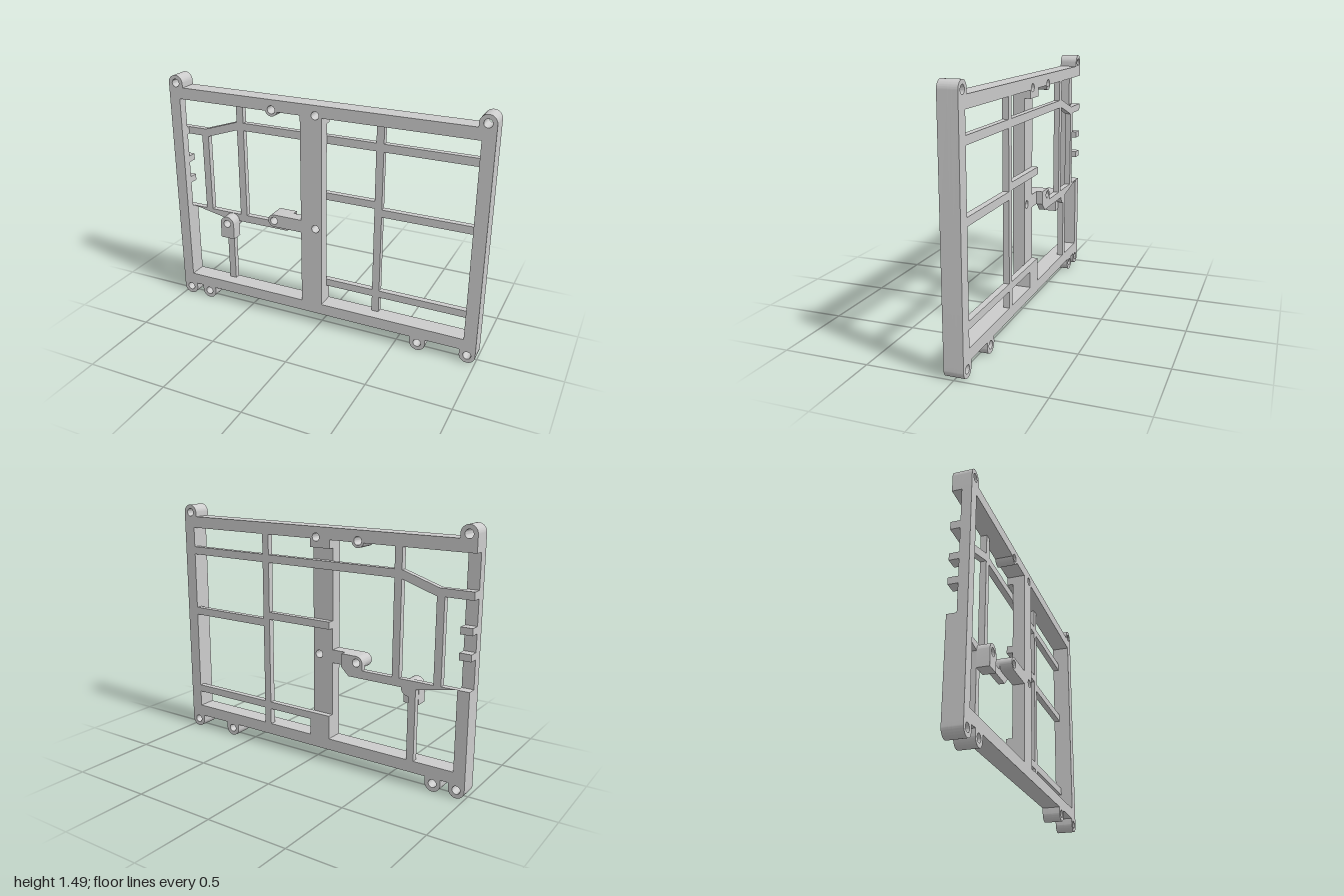
import * as THREE from 'three';
import { toCreasedNormals } from 'three/addons/utils/BufferGeometryUtils.js';

const FRONT = 0.055, MID = 0, RIB = -0.018, BACK = -0.055;
const EAR = 0.048, HOLE = 0.024, PI = Math.PI;
const EAR_TOP = 1.445;
const bottomEars = [-0.952, -0.808, 0.648, 0.952];
const material = new THREE.MeshStandardMaterial({ color: 0xcccccc });

export function createModel() {
  const model = new THREE.Group();

  // Extrudes a flat shape between two depths, with round screw holes.
  function plate(name, shape, z0, z1, screwHoles = []) {
    for (const [x, y] of screwHoles) {
      shape.holes.push(new THREE.Path().absarc(x, y, HOLE, 0, PI * 2, true));
    }
    const geo = new THREE.ExtrudeGeometry(shape, { depth: z1 - z0, bevelEnabled: false, curveSegments: 16 });
    geo.translate(0, 0, z0);
    const mesh = new THREE.Mesh(toCreasedNormals(geo, 0.5), material);
    mesh.name = name;
    model.add(mesh);
  }
  const poly = (pts) => new THREE.Shape(pts.map(([x, y]) => new THREE.Vector2(x, y)));
  const rect = (x0, x1, y0, y1) => poly([[x0, y0], [x1, y0], [x1, y1], [x0, y1]]);
  const lines = (path, pts) => pts.forEach(([x, y]) => path.lineTo(x, y));

  // Outer edge with its screw ears, from the lower to the upper end of the left notch.
  function outerEdge() {
    const s = new THREE.Shape();
    s.moveTo(-1, 0.62);
    for (const x of bottomEars) {
      s.lineTo(x - EAR, 0.08);
      s.absarc(x, EAR, EAR, PI, PI * 2, false);
      s.lineTo(x + EAR, 0.08);
    }
    s.absarc(0.952, EAR_TOP, EAR, 0, PI, false);
    lines(s, [[0.904, 1.42], [-0.904, 1.42]]);
    s.absarc(-0.952, EAR_TOP, EAR, 0, PI, false);
    s.lineTo(-1, 1.35);
    return s;
  }
  // Top edge of the left window, with the small round boss bulging into it.
  function windowTop(path) {
    path.lineTo(-0.93, 1.35);
    path.absarc(-0.3, 1.36, 0.04, PI + 0.253, PI * 2 - 0.253, false);
    path.lineTo(-0.115, 1.35);
  }
  const rightWindow = () => rect(0.02, 0.925, 0.15, 1.35);
  const frameHoles = [
    ...bottomEars.map((x) => [x, EAR]),
    [-0.952, EAR_TOP], [0.952, EAR_TOP], [-0.3, 1.36], [-0.02, 1.36],
  ];
  const columnHoles = [...frameHoles, [-0.02, 0.66]];

  // Front layer: closed frame with the centre column.
  const front = outerEdge();
  const leftWindow = new THREE.Path();
  leftWindow.moveTo(-0.93, 0.15);
  windowTop(leftWindow);
  leftWindow.lineTo(-0.115, 0.15);
  front.holes.push(leftWindow, rightWindow());
  plate('frameFront', front, MID, FRONT, columnHoles);

  // Middle layer: side rail cut open at the left, column still present.
  const middle = outerEdge();
  windowTop(middle);
  lines(middle, [[-0.115, 0.15], [-0.93, 0.15], [-0.93, 0.62]]);
  middle.holes.push(rightWindow());
  plate('frameMiddle', middle, RIB, MID, columnHoles);

  // Back layer: column recessed except for its two end stubs.
  const back = outerEdge();
  windowTop(back);
  lines(back, [
    [-0.115, 1.3], [0.02, 1.3], [0.02, 1.35], [0.925, 1.35], [0.925, 0.15], [0.02, 0.15],
    [0.02, 0.295], [-0.115, 0.295], [-0.115, 0.15], [-0.93, 0.15], [-0.93, 0.62],
  ]);
  plate('frameBack', back, BACK, RIB, frameHoles);

  // Teeth left standing in the side rail notch.
  for (const [y0, y1] of [[1.11, 1.155], [0.925, 0.965], [0.785, 0.825]]) {
    plate('railTooth', rect(-1, -0.93, y0, y1), BACK, MID);
  }

  // Thin straight ribs along the back.
  const ribs = [
    [0.02, 0.925, 0.25, 0.295],
    [-0.115, 0.325, 0.83, 0.875],
    [0.37, 0.925, 0.783, 0.83],
    [0.325, 0.37, 0.15, 1.35],
    [-0.835, -0.79, 0.62, 1.13],
    [-0.58, -0.535, 0.62, 1.35],
    [-0.685, -0.64, 0.15, 0.57],
  ];
  for (const r of ribs) plate('rib', rect(...r), BACK, RIB);

  // Upper rib, bent near its left end and crossing behind the column.
  plate('bentRib', poly([
    [-0.93, 1.11], [-0.785, 1.11], [-0.575, 1.18], [0.925, 1.18],
    [0.925, 1.228], [-0.58, 1.228], [-0.805, 1.155], [-0.93, 1.155],
  ]), BACK, RIB);

  // Lower left rib, carrying the backs of two screw bosses.
  const lower = new THREE.Shape();
  lower.moveTo(-0.93, 0.572);
  lower.absarc(-0.64, 0.572, 0.046, PI, PI * 2, false);
  lines(lower, [[-0.25, 0.572], [-0.2, 0.62], [-0.2, 0.7]]);
  lower.absarc(-0.3, 0.66, 0.04, PI / 2, PI, false);
  lines(lower, [[-0.34, 0.62], [-0.93, 0.62]]);
  plate('lowerRib', lower, BACK, RIB, [[-0.64, 0.572], [-0.3, 0.66]]);

  // Arm reaching from the column to its screw boss.
  const arm = new THREE.Shape();
  arm.moveTo(-0.115, 0.62);
  arm.lineTo(-0.115, 0.7);
  arm.absarc(-0.3, 0.66, 0.04, PI / 2, PI * 1.5, false);
  plate('columnArm', arm, RIB, FRONT, [[-0.3, 0.66]]);

  // Round-topped screw block on the short post.
  const block = new THREE.Shape();
  block.moveTo(-0.687, 0.474);
  block.lineTo(-0.593, 0.474);
  block.absarc(-0.64, 0.572, 0.047, 0, PI, false);
  plate('screwBlock', block, RIB, FRONT, [[-0.64, 0.572]]);

  return model;
}
